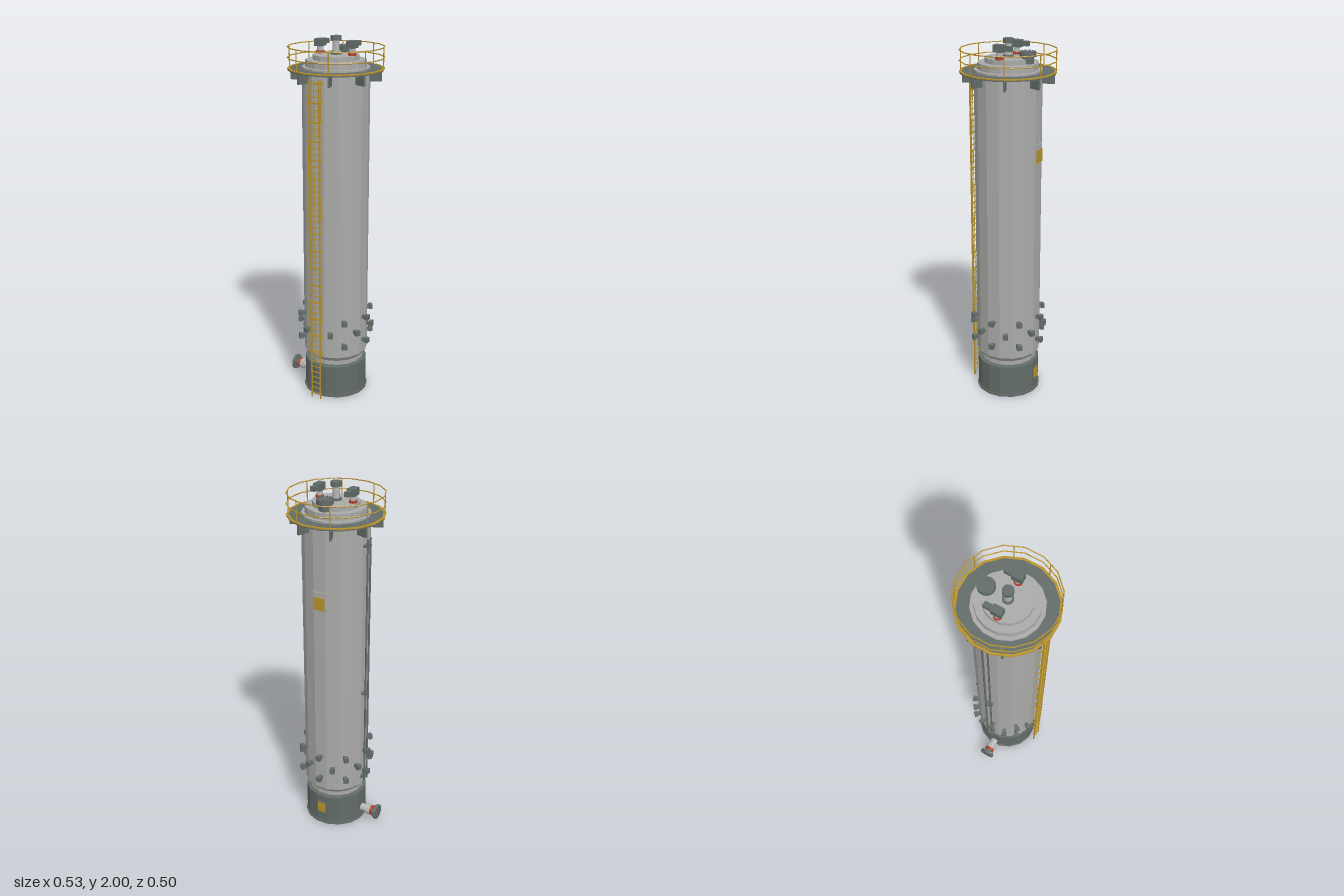
import * as THREE from 'three';

const mat = (name, color) => {
  const m = new THREE.MeshStandardMaterial({ color, flatShading: true });
  m.name = name;
  return m;
};

export function createModel() {
  const shellGrey = mat('shell grey', 0xaaaaa8);
  const steel = mat('dark steel', 0x626c68);
  const yellow = mat('safety yellow', 0xb8922a);
  const red = mat('gasket red', 0xb5402c);
  const pipeGrey = mat('pipe grey', 0xb4b6b4);

  const root = new THREE.Group();
  root.name = 'processTower';
  const tower = new THREE.Group();
  tower.name = 'tower';
  tower.position.x = 0.0125;
  root.add(tower);

  const SIDES = 16, TURN = Math.PI / SIDES;
  const add = (parent, name, geo, m, x = 0, y = 0, z = 0) => {
    const mesh = new THREE.Mesh(geo, m);
    mesh.name = name;
    mesh.position.set(x, y, z);
    parent.add(mesh);
    return mesh;
  };
  const group = (name, parent = tower) => {
    const g = new THREE.Group();
    g.name = name;
    parent.add(g);
    return g;
  };
  // Box and upright cylinder given by their extents
  const box = (p, name, m, x0, x1, y0, y1, z0, z1) =>
    add(p, name, new THREE.BoxGeometry(x1 - x0, y1 - y0, z1 - z0), m, (x0 + x1) / 2, (y0 + y1) / 2, (z0 + z1) / 2);
  const cyl = (p, name, m, r, y0, y1, x = 0, z = 0, n = SIDES) =>
    add(p, name, new THREE.CylinderGeometry(r, r, y1 - y0, n).rotateY(Math.PI / n), m, x, (y0 + y1) / 2, z);
  // Group turned so that its +x axis points outward at an angle
  const spoke = (name, angle, y = 0) => {
    const g = group(name);
    g.rotation.y = angle;
    g.position.y = y;
    return g;
  };

  // Shell with stepped heads
  const profile = [[0, 0.18], [0.105, 0.18], [0.105, 0.195], [0.158, 0.195], [0.158, 0.22], [0.179, 0.247],
    [0.179, 1.845], [0.16, 1.845], [0.16, 1.88], [0.122, 1.88], [0.122, 1.905], [0, 1.905]];
  add(tower, 'shell', new THREE.LatheGeometry(profile.map(p => new THREE.Vector2(...p)), SIDES, TURN), shellGrey);

  // Skirt, base ring and access door
  cyl(tower, 'baseRing', steel, 0.18, 0, 0.012);
  cyl(tower, 'skirt', steel, 0.174, 0.012, 0.185);
  box(tower, 'skirtDoor', steel, -0.035, 0.035, 0.02, 0.14, 0.168, 0.175);

  // Platform, edge strip and railing
  cyl(tower, 'platformDeck', steel, 0.252, 1.824, 1.835);
  const edge = new THREE.RingGeometry(0.242, 0.255, SIDES, 1).rotateZ(TURN).rotateX(-Math.PI / 2);
  add(tower, 'deckEdge', edge, yellow, 0, 1.837, 0);
  const kick = new THREE.CylinderGeometry(0.255, 0.255, 0.006, SIDES, 1, true).rotateY(TURN);
  add(tower, 'deckEdgeSide', kick, yellow, 0, 1.834, 0);
  for (const y of [1.89, 1.945]) {
    const rail = new THREE.TorusGeometry(0.252, 0.003, 6, SIDES).rotateZ(TURN).rotateX(Math.PI / 2);
    add(tower, 'handRail', rail, yellow, 0, y, 0);
  }
  for (let i = 0; i < 8; i++) {
    const a = (i + 0.5) * Math.PI / 4;
    const s = spoke('platformSupport', a);
    box(s, 'bracket', steel, 0.165, 0.24, 1.77, 1.825, -0.006, 0.006);
    cyl(s, 'railPost', yellow, 0.003, 1.83, 1.945, 0.247, 0, 6);
  }

  // Three staggered rows of small side nozzles, leaving room for the ladder
  [0.325, 0.395, 0.465].forEach((y, row) => {
    for (let i = 0; i < 8; i++) {
      if (row !== 1 && i === 6) continue;
      const s = spoke('sideNozzle', (i + (row === 1 ? 0.5 : 0)) * Math.PI / 4, y);
      box(s, 'neck', steel, 0.17, 0.197, -0.01, 0.01, -0.01, 0.01);
      box(s, 'cap', steel, 0.194, 0.214, -0.014, 0.014, -0.014, 0.014);
    }
  });

  // Front ladder with rungs, outer bars and cross straps
  const ladder = group('ladder');
  ladder.position.z = 0.211;
  const b = 0.0025;
  for (const s of [-1, 1]) {
    box(ladder, 'ladderRail', yellow, s * 0.028 - b, s * 0.028 + b, 0, 1.8, -0.004, 0.004);
    box(ladder, 'outerBar', yellow, s * 0.038 - b / 2, s * 0.038 + b / 2, 0.28, 1.8, -0.002, 0.002);
  }
  box(ladder, 'middleBar', yellow, -b / 2, b / 2, 0.28, 1.8, 0.002, 0.005);
  for (let y = 0.03; y < 1.8; y += 0.033)
    box(ladder, 'rung', yellow, -0.028, 0.028, y - 0.002, y + 0.002, -0.002, 0.002);
  for (let i = 0; i < 16; i++) {
    const y = 0.285 + i * 0.1;
    box(ladder, 'strap', yellow, -0.039, 0.039, y - b, y + b, -0.003, 0.003);
    for (const s of [-1, 1])
      box(ladder, 'standoff', yellow, s * 0.037 - b, s * 0.037 + b, y - b, y + b, -0.02, 0.003);
  }

  // Twin conduit on the right side
  const conduit = group('conduit');
  for (const z of [-0.03, 0]) cyl(conduit, 'conduitPipe', steel, 0.005, 0.28, 1.74, -0.199, z, 8);
  for (const y of [0.3, 0.85, 1.7])
    box(conduit, 'conduitClamp', steel, -0.203, -0.17, y - 0.005, y + 0.005, -0.037, 0.007);

  // Inlet nozzle low on the right side
  const inlet = group('inletNozzle');
  inlet.position.y = 0.06;
  inlet.rotation.z = Math.PI / 2;
  cyl(inlet, 'inletPipe', pipeGrey, 0.022, 0.15, 0.24);
  cyl(inlet, 'inletCollar', pipeGrey, 0.03, 0.21, 0.234);
  cyl(inlet, 'inletGasket', red, 0.028, 0.234, 0.25);
  cyl(inlet, 'inletHub', steel, 0.022, 0.25, 0.268);
  cyl(inlet, 'inletFlange', steel, 0.043, 0.266, 0.279);
  const bolts = (p, r, y0, y1, n, z = 0) => {
    for (let i = 0; i < n; i++) {
      const a = (i + 0.5) * 2 * Math.PI / n;
      cyl(p, 'bolt', steel, 0.005, y0, y1, r * Math.cos(a), z + r * Math.sin(a), 4);
    }
  };
  bolts(inlet, 0.034, 0.256, 0.268, 8);

  // Vent in the middle of the head
  cyl(tower, 'ventBase', steel, 0.028, 1.905, 1.916);
  cyl(tower, 'ventPipe', pipeGrey, 0.018, 1.905, 1.978);
  cyl(tower, 'ventFlange', steel, 0.028, 1.976, 2);

  // Manway at the back of the head
  const mz = -0.112;
  cyl(tower, 'manwayNeck', steel, 0.031, 1.87, 1.925, 0, mz);
  cyl(tower, 'manwayCover', steel, 0.044, 1.915, 1.938, 0, mz);
  bolts(tower, 0.037, 1.936, 1.943, 12, mz);

  // Pair of relief valves
  for (const s of [-1, 1]) {
    const v = group('reliefValve');
    v.position.x = s * 0.097;
    cyl(v, 'valveGasket', red, 0.022, 1.905, 1.918, 0, 0, 12);
    cyl(v, 'valveNeck', pipeGrey, 0.017, 1.918, 1.945, 0, 0, 12);
    box(v, 'valveBody', steel, -0.02, 0.02, 1.942, 1.98, -0.028, 0.028);
    box(v, 'valveOutlet', steel, -0.013, 0.013, 1.95, 1.975, -0.07, -0.028);
  }

  // Plates on the back
  box(tower, 'signBacking', shellGrey, -0.035, 0.035, 1.365, 1.465, -0.181, -0.173);
  box(tower, 'signPlate', yellow, -0.033, 0.033, 1.367, 1.437, -0.185, -0.178);
  box(tower, 'skirtPlateFrame', steel, -0.03, 0.03, 0.07, 0.145, -0.175, -0.168);
  box(tower, 'skirtPlate', yellow, -0.024, 0.024, 0.077, 0.138, -0.178, -0.171);

  return root;
}
